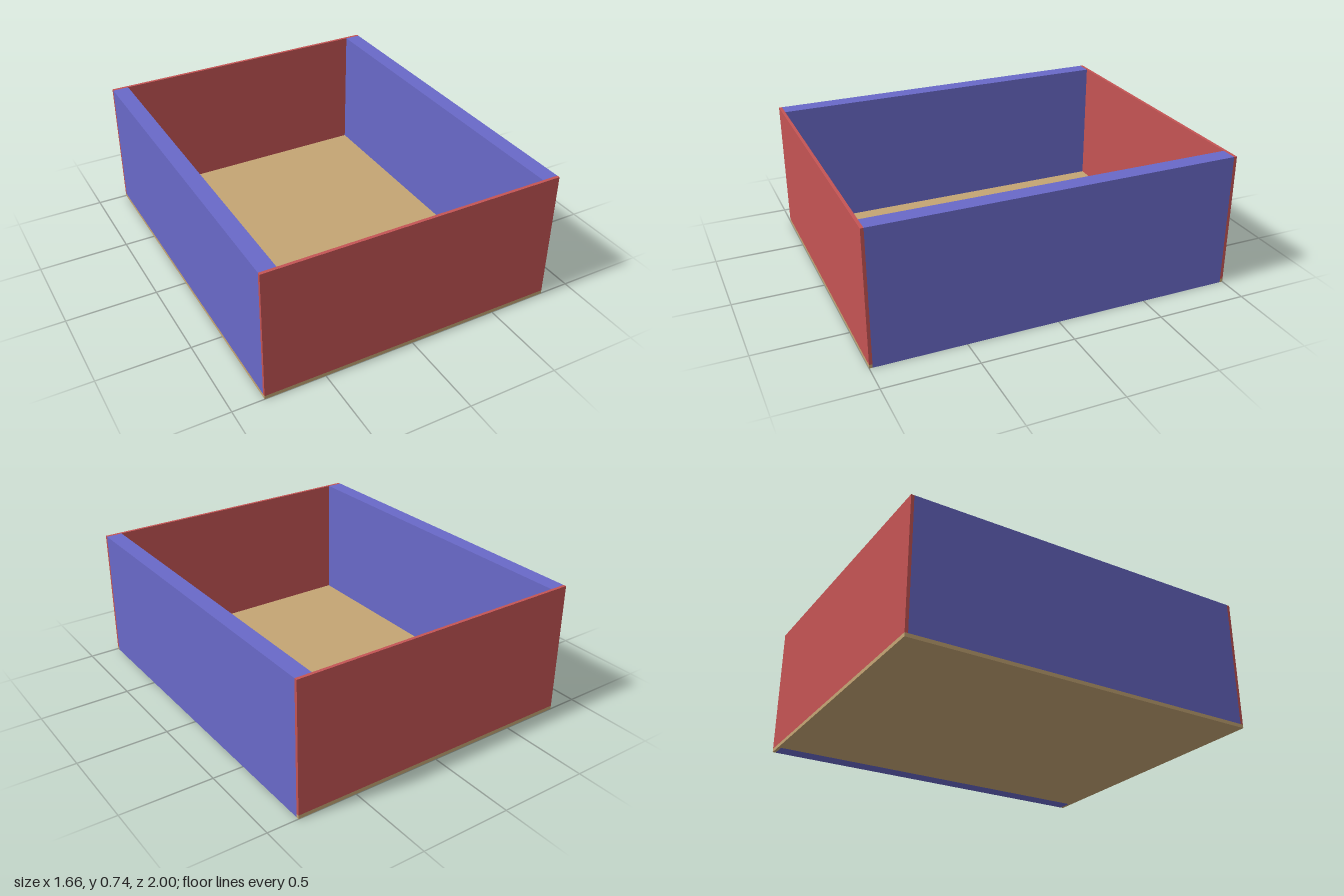
import * as THREE from 'three';

const W = 0.83, D = 1, H = 0.742; // half width, half depth, height
const SIDE = 0.09, END = 0.017, FLOOR = 0.02; // panel thicknesses

export function createModel() {
  const make = (name, color) => {
    const m = new THREE.MeshStandardMaterial({ color });
    m.name = name;
    return m;
  };
  const red = make('red end panels', 0xc45454);
  const blue = make('blue side panels', 0x6969c8);
  const tan = make('tan floor', 0xc4a574);

  const group = new THREE.Group();
  group.name = 'openBox';
  const add = (name, geometry, material, x, y, z) => {
    const mesh = new THREE.Mesh(geometry, material);
    mesh.name = name;
    mesh.position.set(x, y, z);
    group.add(mesh);
    return mesh;
  };

  // Floor board, notched on the left where the side panel reaches the ground
  const inner = D - END;
  const outline = new THREE.Shape([
    [-W, -D], [W, -D], [W, -inner], [W - SIDE, -inner],
    [W - SIDE, inner], [W, inner], [W, D], [-W, D],
  ].map(([x, y]) => new THREE.Vector2(x, y)));
  const floor = new THREE.ExtrudeGeometry(outline, { depth: FLOOR, bevelEnabled: false });
  floor.rotateX(-Math.PI / 2);
  add('floor', floor, tan, 0, 0, 0);

  // Thick side panels between the ends; one stands on the floor board
  for (const [name, s, bottom] of [['leftSide', 1, 0], ['rightSide', -1, FLOOR]]) {
    add(name, new THREE.BoxGeometry(SIDE, H - bottom, 2 * inner), blue,
      s * (W - SIDE / 2), (H + bottom) / 2, 0);
  }

  // Thin end panels across the full width
  for (const [name, s] of [['frontPanel', 1], ['backPanel', -1]]) {
    add(name, new THREE.BoxGeometry(2 * W, H - FLOOR, END), red,
      0, (H + FLOOR) / 2, s * (D - END / 2));
  }
  return group;
}
